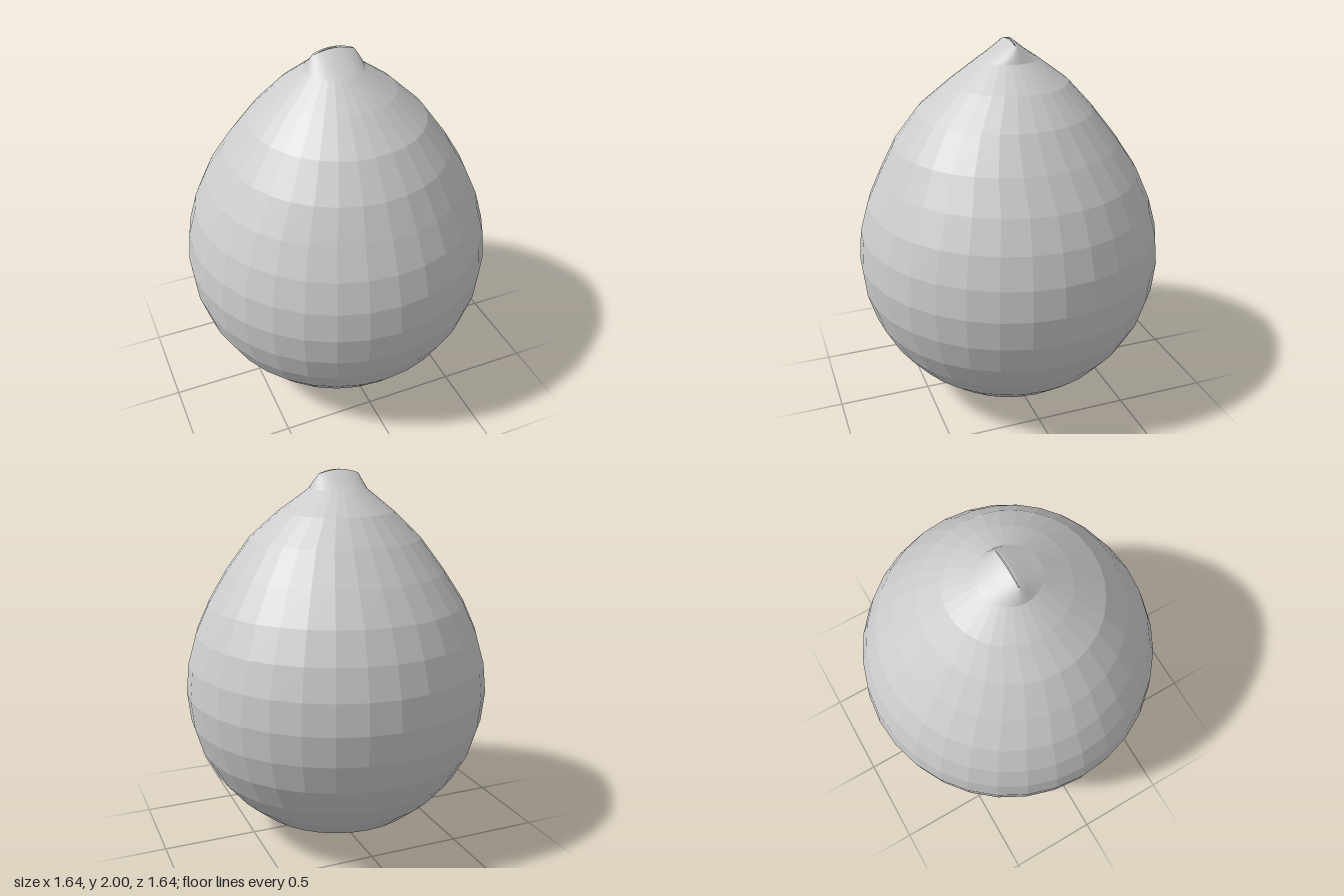
import * as THREE from 'three';

const SIDES = 32;

// Skin a stack of elliptical rings: { y, rx, rz, cx, cz, bow }
function loft(rings) {
  const pos = [], index = [];
  for (const { y, rx, rz = rx, cx = 0, cz = 0, bow = 0 } of rings) {
    for (let i = 0; i < SIDES; i++) {
      const a = (i / SIDES) * Math.PI * 2;
      const s = Math.sin(a);
      pos.push(cx + rx * s, y + bow * (1 - s * s), cz + rz * Math.cos(a));
    }
  }
  for (let r = 0; r < rings.length - 1; r++) {
    for (let i = 0; i < SIDES; i++) {
      const j = (i + 1) % SIDES;
      const a = r * SIDES + i, b = r * SIDES + j;
      const c = b + SIDES, d = a + SIDES;
      if (rings[r].rx > 0) index.push(a, b, c);
      else { index.push(a, c, d); continue; }
      if (rings[r + 1].rx > 0) index.push(a, c, d);
    }
  }
  const geo = new THREE.BufferGeometry();
  geo.setAttribute('position', new THREE.Float32BufferAttribute(pos, 3));
  geo.setIndex(index);
  geo.computeVertexNormals();
  return geo;
}

export function createModel() {
  const group = new THREE.Group();
  const add = (name, rings, flatShading) => {
    const mat = new THREE.MeshStandardMaterial({ color: 0xcccccc, flatShading, side: THREE.DoubleSide });
    const mesh = new THREE.Mesh(loft(rings), mat);
    mesh.name = name;
    group.add(mesh);
  };

  // Faceted bulb: round below, tapering like a teardrop above
  const neck = { y: 1.9, rx: 0.155, rz: 0.157, cx: -0.01 };
  add('bulb', [
    { y: 0.005, rx: 0 },
    { y: 0.02, rx: 0.16 },
    { y: 0.065, rx: 0.314 },
    { y: 0.14, rx: 0.456 },
    { y: 0.245, rx: 0.58 },
    { y: 0.37, rx: 0.683 },
    { y: 0.515, rx: 0.76 },
    { y: 0.67, rx: 0.806 },
    { y: 0.83, rx: 0.822 },
    { y: 0.99, rx: 0.806 },
    { y: 1.15, rx: 0.76 },
    { y: 1.31, rx: 0.687 },
    { y: 1.475, rx: 0.583, rz: 0.59, cz: 0.015 },
    { y: 1.645, rx: 0.457, rz: 0.459, cz: 0.018 },
    { y: 1.785, rx: 0.306, rz: 0.312 },
    neck,
  ], true);

  // Smooth neck pinched into a flat, slightly bowed lip
  add('pinchedTip', [
    neck,
    { y: 1.945, rx: 0.132, rz: 0.078, cx: -0.01, cz: -0.004, bow: 0.005 },
    { y: 1.978, rx: 0.112, rz: 0.012, cx: -0.012, cz: -0.008, bow: 0.022 },
    { y: 1.976, rx: 0.1, rz: 0.002, cx: -0.012, cz: -0.008, bow: 0.022 },
  ], false);

  return group;
}
